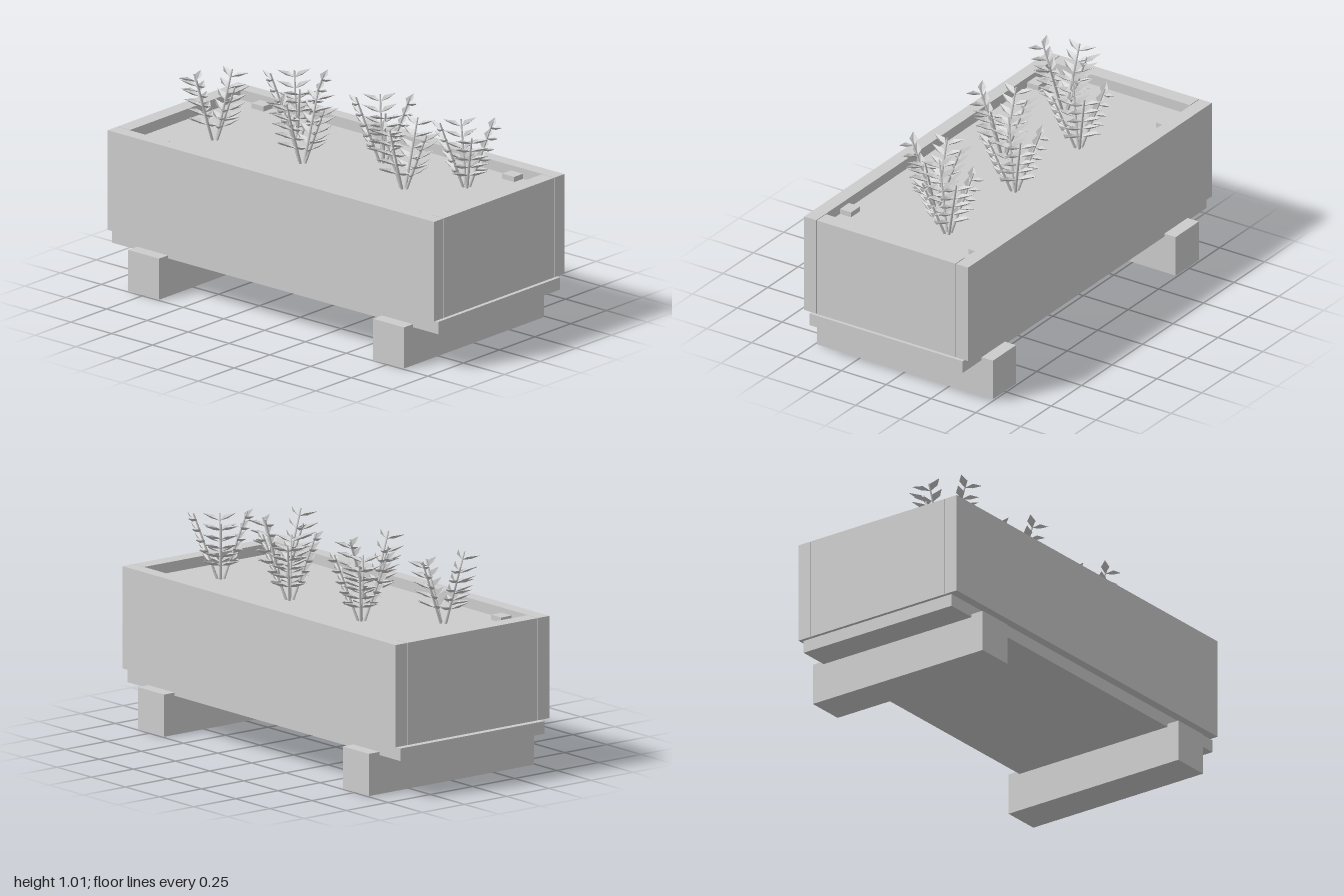
import * as THREE from 'three';

const grey = new THREE.MeshStandardMaterial({ color: 0xcccccc, side: THREE.DoubleSide });
grey.name = 'plain grey';

function box(parent, name, x0, x1, y0, y1, z0, z1) {
  const m = new THREE.Mesh(new THREE.BoxGeometry(x1 - x0, y1 - y0, z1 - z0), grey);
  m.position.set((x0 + x1) / 2, (y0 + y1) / 2, (z0 + z1) / 2);
  m.name = name;
  parent.add(m);
}

// Folded kite leaf: base at the origin, tip along +z, creased along the midrib
function leafGeometry() {
  const base = [0, 0, 0], tip = [0, 0, 0.1], rib = [0, -0.007, 0.045];
  const left = [0.021, 0.009, 0.04], right = [-0.021, 0.009, 0.04];
  const tris = [base, rib, left, rib, tip, left, base, right, rib, rib, right, tip];
  const g = new THREE.BufferGeometry();
  g.setAttribute('position', new THREE.Float32BufferAttribute(tris.flat(), 3));
  g.computeVertexNormals();
  return g;
}

const SOIL = 0.69;
const UP = new THREE.Vector3(0, 1, 0);

function stem(leaf, angle, top) {
  const g = new THREE.Group();
  g.name = 'stem';
  const out = new THREE.Vector3(Math.cos(angle), 0, Math.sin(angle));
  const side = new THREE.Vector3(-out.z, 0, out.x);
  const start = out.clone().multiplyScalar(0.012).setY(SOIL - 0.01);
  const end = out.clone().multiplyScalar(0.125).setY(top);
  const dir = end.clone().sub(start);
  const stalk = new THREE.Mesh(new THREE.CylinderGeometry(0.004, 0.007, dir.length(), 5), grey);
  stalk.position.copy(start).lerp(end, 0.5);
  stalk.quaternion.setFromUnitVectors(UP, dir.clone().normalize());
  stalk.name = 'stalk';
  g.add(stalk);
  // Leaf pairs up the stalk
  for (const t of [0.27, 0.42, 0.57, 0.73, 0.89]) {
    for (const s of [-1, 1]) {
      const m = new THREE.Mesh(leaf, grey);
      m.name = 'leaf';
      m.position.copy(start).lerp(end, t);
      const z = side.clone().multiplyScalar(s * 0.85).addScaledVector(out, 0.42);
      z.y = 0.3;
      z.normalize();
      const x = new THREE.Vector3().crossVectors(UP, z).normalize();
      const y = new THREE.Vector3().crossVectors(z, x);
      m.quaternion.setFromRotationMatrix(new THREE.Matrix4().makeBasis(x, y, z));
      m.scale.setScalar(1.02 - 0.1 * t);
      g.add(m);
    }
  }
  return g;
}

export function createModel() {
  const model = new THREE.Group();
  model.name = 'planter';

  // Supports and base
  for (const s of [-1, 1]) {
    box(model, 'footBeam', s * 0.75 - 0.095, s * 0.75 + 0.095, 0, 0.2, -0.49, 0.49);
  }
  box(model, 'baseSlab', -1, 1, 0.185, 0.245, -0.427, 0.427);

  // Side and end boards
  for (const s of [-1, 1]) {
    box(model, 'longBoard', -1, 1, 0.255, 0.74, s * 0.4235 - 0.0335, s * 0.4235 + 0.0335);
    box(model, 'endBoard', s * 0.962 - 0.038, s * 0.962 + 0.038, 0.255, 0.74, -0.386, 0.386);
    for (const t of [-1, 1]) {
      box(model, 'cornerPost', s * 0.768 - 0.037, s * 0.768 + 0.037, 0.24, 0.715,
        t * 0.369 - 0.041, t * 0.369 + 0.041);
    }
  }
  box(model, 'soil', -0.924, 0.924, 0.26, SOIL, -0.39, 0.39);

  // Plants: x, z, turn
  const leaf = leafGeometry();
  const plants = [
    [-0.64, 0.12, 0], [-0.365, -0.145, 0.75], [-0.115, 0.105, -0.1],
    [0.16, -0.145, 0.75], [0.48, 0.075, -0.17], [0.685, -0.13, 0.65],
  ];
  plants.forEach(([x, z, turn]) => {
    const plant = new THREE.Group();
    plant.name = 'plant';
    plant.position.set(x, 0, z);
    for (let i = 0; i < 4; i++) {
      plant.add(stem(leaf, turn + i * Math.PI / 2, [0.97, 1.01, 0.98, 1.0][i]));
    }
    model.add(plant);
  });
  return model;
}
